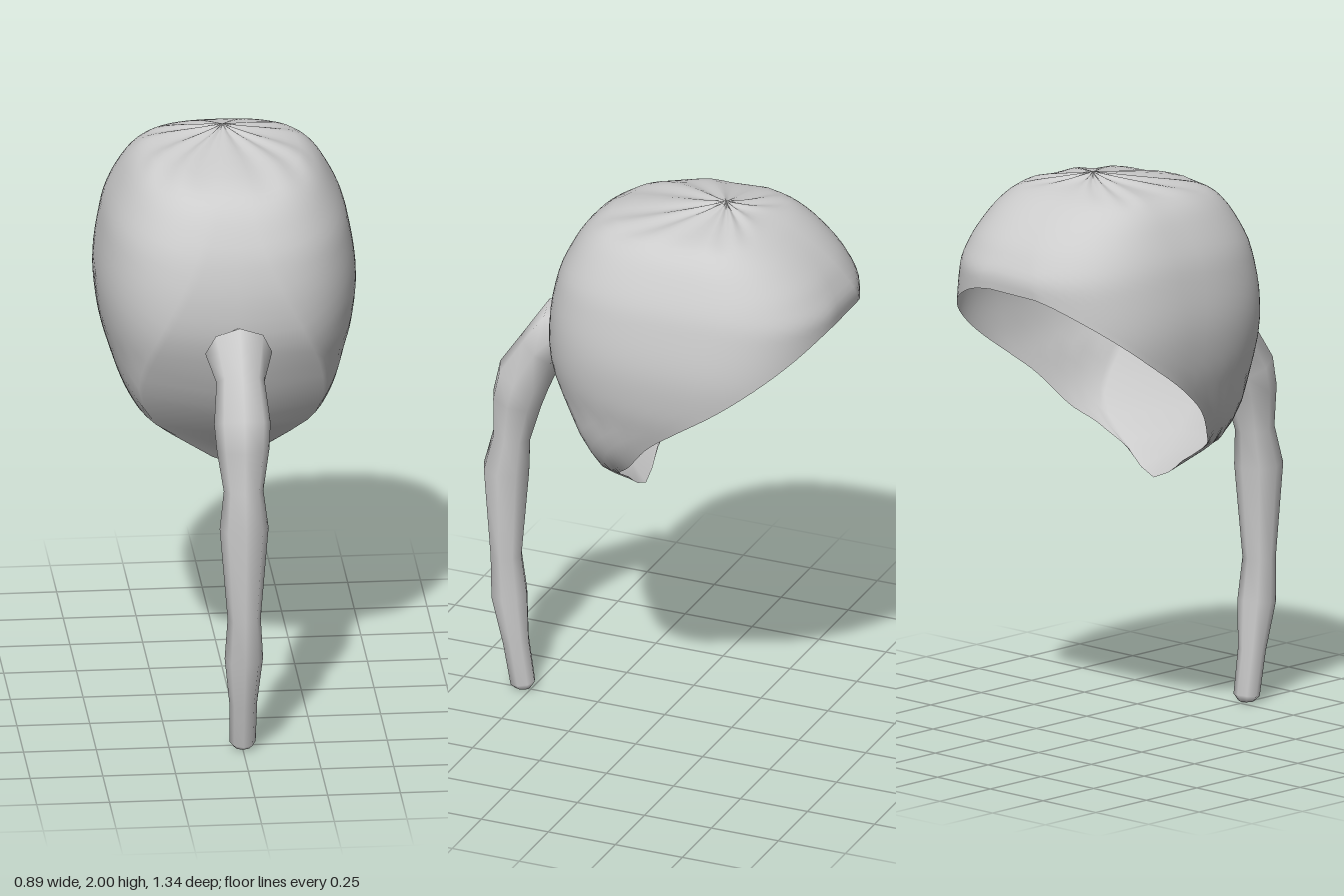
import * as THREE from 'three';

// Smooth monotone interpolation through [key, value] pairs with rising keys
function curve(pts) {
  const n = pts.length - 1;
  const d = [];
  for (let i = 0; i < n; i++) d.push((pts[i + 1][1] - pts[i][1]) / (pts[i + 1][0] - pts[i][0]));
  const m = pts.map((_, i) => {
    if (i === 0) return d[0];
    if (i === n) return d[n - 1];
    return d[i - 1] * d[i] <= 0 ? 0 : (2 * d[i - 1] * d[i]) / (d[i - 1] + d[i]);
  });
  return (x) => {
    if (x <= pts[0][0]) return pts[0][1];
    if (x >= pts[n][0]) return pts[n][1];
    let i = 0;
    while (x > pts[i + 1][0]) i++;
    const h = pts[i + 1][0] - pts[i][0];
    const t = (x - pts[i][0]) / h;
    const t2 = t * t, t3 = t2 * t;
    return pts[i][1] * (2 * t3 - 3 * t2 + 1) + pts[i + 1][1] * (3 * t2 - 2 * t3)
      + h * (m[i] * (t3 - 2 * t2 + t) + m[i + 1] * (t3 - t2));
  };
}

// Surface from closed rings running from top to bottom
function skin(rows, cols, point) {
  const pos = [], index = [];
  for (let i = 0; i <= rows; i++)
    for (let j = 0; j < cols; j++) pos.push(...point(i, (j / cols) * Math.PI * 2));
  for (let i = 0; i < rows; i++)
    for (let j = 0; j < cols; j++) {
      const k = (j + 1) % cols;
      const a = i * cols + j, b = i * cols + k, c = a + cols, d = b + cols;
      index.push(a, c, d, a, d, b);
    }
  const g = new THREE.BufferGeometry();
  g.setAttribute('position', new THREE.Float32BufferAttribute(pos, 3));
  g.setIndex(index);
  g.computeVertexNormals();
  return g;
}

// Shell profiles by height: half width, front z, back z and z of the open rim
const halfWidth = curve([[0.87, 0], [0.9, 0.07], [0.95, 0.13], [1.0, 0.22], [1.08, 0.32], [1.2, 0.385],
  [1.37, 0.435], [1.5, 0.447], [1.7, 0.42], [1.84, 0.36], [1.94, 0.27], [2, 0]]);
const frontZ = curve([[0.87, 0.07], [0.95, 0.13], [1.0, 0.18], [1.1, 0.265], [1.2, 0.32], [1.3, 0.352],
  [1.45, 0.377], [1.55, 0.373], [1.7, 0.345], [1.8, 0.3], [1.86, 0.26], [1.92, 0.18], [2, -0.23]]);
const backZ = curve([[1.2, -0.62], [1.5, -0.67], [1.68, -0.672], [1.77, -0.63], [1.85, -0.56],
  [1.93, -0.45], [1.965, -0.36], [2, -0.23]]);
const rimZ = curve([[0.87, 0.07], [0.95, 0.08], [1.02, 0.06], [1.08, 0], [1.2, -0.1], [1.28, -0.2],
  [1.42, -0.4], [1.58, -0.6], [1.65, -0.67]]);
// Rim height by angle around the crown, from the front tip to the back
const rimHeight = curve([[0, 0.87], [0.25, 0.95], [0.8, 1.08], [1.57, 1.26], [2.36, 1.47], [2.9, 1.62], [Math.PI, 1.65]]);
const midZ = (y) => (y > 1.7 ? THREE.MathUtils.lerp(-0.18, -0.23, (y - 1.7) / 0.3) : Math.max(-0.18, rimZ(y)));

function shellGeometry() {
  const rows = 30, power = 2.5;
  return skin(rows, 80, (i, theta) => {
    const side = theta > Math.PI ? -1 : 1;
    const a = side > 0 ? theta : Math.PI * 2 - theta;
    const t = i / rows;
    const end = rimHeight(a);
    const y = 2 - (2 - end) * t * t;
    // Turn each column so that it finishes on the slanted rim
    const ratio = THREE.MathUtils.clamp((midZ(end) - rimZ(end)) / (midZ(end) - backZ(end)), 0, 1);
    const endAngle = a === 0 ? 0 : Math.PI - Math.acos(ratio ** (power / 2));
    const phi = THREE.MathUtils.lerp(a, endAngle, t ** 4);
    const s = Math.max(0, Math.sin(phi)) ** (2 / power);
    const c = Math.abs(Math.cos(phi)) ** (2 / power);
    const mid = midZ(y);
    const z = Math.cos(phi) >= 0 ? mid + (frontZ(y) - mid) * c : mid - (mid - backZ(y)) * c;
    // Faint gathers around the crown
    const gather = 0.005 * (Math.cos(a * 11) - 1) * Math.sin(Math.PI * Math.min(1, t / 0.35));
    return [side * halfWidth(y) * s, y + gather, z];
  });
}

// Hanging trunk: [z, y, radius] along its centre line
const stations = [[0.29, 1.38, 0], [0.3, 1.38, 0.07], [0.385, 1.395, 0.115], [0.455, 1.315, 0.083],
  [0.525, 1.19, 0.097], [0.55, 1.1, 0.09], [0.57, 0.96, 0.068], [0.59, 0.83, 0.084], [0.592, 0.5, 0.057],
  [0.58, 0.35, 0.066], [0.556, 0.18, 0.048], [0.53, 0.025, 0.045], [0.53, 0.005, 0.028], [0.53, 0, 0]];

function trunkGeometry() {
  const last = stations.length - 1;
  return skin(last, 8, (i, theta) => {
    const [z, y, r] = stations[i];
    const p = stations[Math.max(0, i - 1)], q = stations[Math.min(last, i + 1)];
    const len = Math.hypot(q[0] - p[0], q[1] - p[1]);
    const tz = (q[0] - p[0]) / len, ty = (q[1] - p[1]) / len;
    const c = r * Math.cos(theta);
    return [r * Math.sin(theta), y + c * tz, z - c * ty];
  });
}

export function createModel() {
  const group = new THREE.Group();
  const grey = new THREE.MeshStandardMaterial({ color: 0xcccccc, side: THREE.DoubleSide });
  grey.name = 'light grey';
  const add = (name, geometry) => {
    const mesh = new THREE.Mesh(geometry, grey);
    mesh.name = name;
    group.add(mesh);
  };
  add('hoodShell', shellGeometry());
  add('hangingTrunk', trunkGeometry());
  return group;
}
